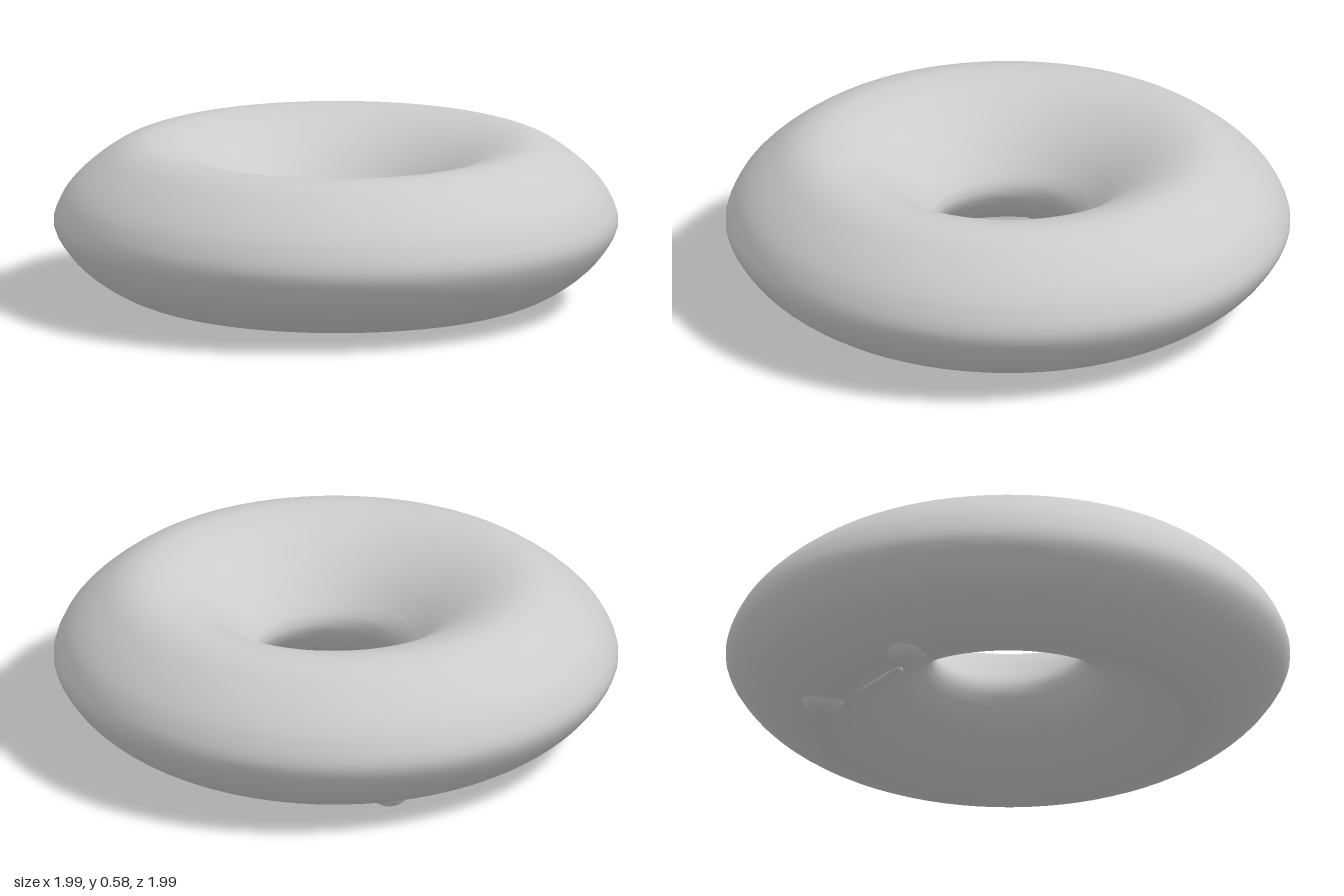
import * as THREE from 'three';
import { mergeVertices } from 'three/addons/utils/BufferGeometryUtils.js';

// Closed ring section as [radius, height], starting at the hole and running along the underside
const SECTION = [
  [0.26, 0.29], [0.33, 0.185], [0.43, 0.115], [0.55, 0.058], [0.66, 0.03], [0.75, 0.05], [0.87, 0.12],
  [0.95, 0.2], [0.995, 0.29], [0.965, 0.38], [0.92, 0.44], [0.84, 0.51], [0.76, 0.56],
  [0.67, 0.58], [0.55, 0.553], [0.43, 0.485], [0.33, 0.395],
];

function ringGeometry() {
  const curve = new THREE.CatmullRomCurve3(SECTION.map(([r, y]) => new THREE.Vector3(r, y, 0)), true);
  const profile = curve.getPoints(56).map((p) => new THREE.Vector2(p.x, p.y));
  let geometry = new THREE.LatheGeometry(profile, 80);
  // Shift the hole a little off centre, leaving the outer rim in place
  const pos = geometry.attributes.position;
  for (let i = 0; i < pos.count; i++) {
    const shift = 0.01 * (1 - Math.hypot(pos.getX(i), pos.getZ(i))) / 0.74;
    pos.setX(i, pos.getX(i) + shift);
    pos.setZ(i, pos.getZ(i) + shift);
  }
  // Weld the seams so that the shading is continuous
  geometry.deleteAttribute('uv');
  geometry.deleteAttribute('normal');
  geometry = mergeVertices(geometry, 1e-4);
  geometry.computeVertexNormals();
  return geometry;
}

// Flattened pad whose ends curve towards the rim
function mouthGeometry() {
  const geometry = new THREE.SphereGeometry(1, 28, 16);
  geometry.scale(0.12, 0.02, 0.04);
  const pos = geometry.attributes.position;
  for (let i = 0; i < pos.count; i++) pos.setZ(i, pos.getZ(i) - 2 * pos.getX(i) ** 2);
  geometry.computeVertexNormals();
  return geometry;
}

export function createModel() {
  const model = new THREE.Group();
  model.name = 'ring';
  const material = new THREE.MeshStandardMaterial({ color: 0xcccccc });

  function add(name, geometry, x, y, z) {
    const mesh = new THREE.Mesh(geometry, material);
    mesh.name = name;
    mesh.position.set(x, y, z);
    model.add(mesh);
    return mesh;
  }

  add('ringBody', ringGeometry(), 0, 0, 0);

  // Face on the underside, near the back
  const eye = new THREE.SphereGeometry(0.083, 28, 18);
  add('leftEye', eye, 0.265, 0.083, -0.61);
  add('rightEye', eye, -0.25, 0.083, -0.61);
  add('mouth', mouthGeometry(), 0.01, 0.062, -0.52).rotation.x = -0.35;

  return model;
}
